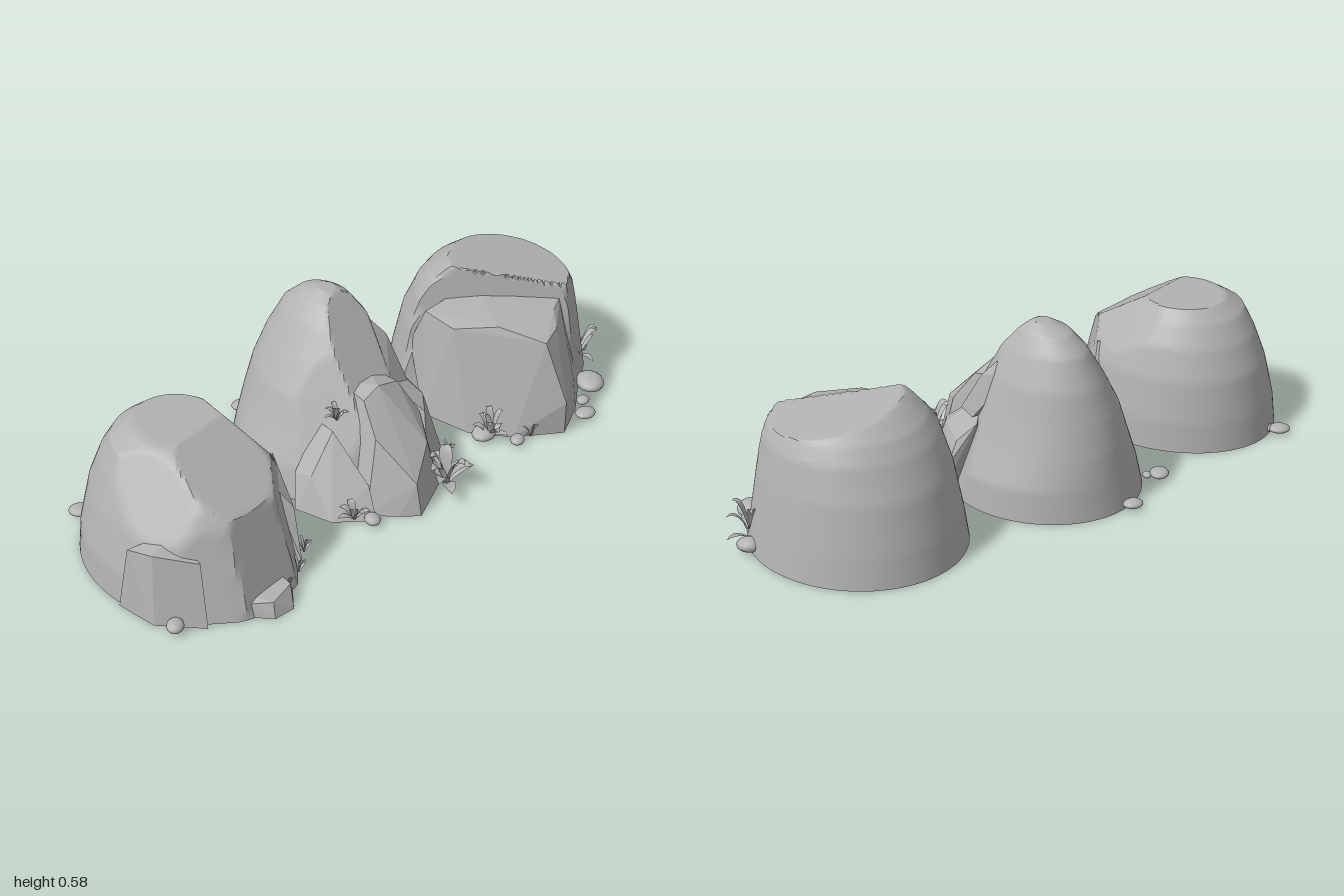
import * as THREE from 'three';
import { toCreasedNormals } from 'three/addons/utils/BufferGeometryUtils.js';
import { ConvexGeometry } from 'three/addons/geometries/ConvexGeometry.js';

const stone = new THREE.MeshStandardMaterial({ color: 0xb2b2b2, side: THREE.DoubleSide });
stone.name = 'stone grey';

function add(parent, name, geometry) {
  const mesh = new THREE.Mesh(geometry, stone);
  mesh.name = name;
  parent.add(mesh);
  return mesh;
}

// Boulder: rounded rings [y, xMin, xMax, zMin, zMax], chiselled by planes [point, normal]
function boulder(rows, planes, core) {
  const N = 96, SUB = 7;
  const collapse = ([y, x0, x1, z0, z1]) => [y, (x0 + x1) / 2, (x0 + x1) / 2, (z0 + z1) / 2, (z0 + z1) / 2];
  const keys = [collapse(rows[0]), ...rows, collapse(rows[rows.length - 1])];
  const cuts = planes.map(([p, n]) => [new THREE.Vector3(...p), new THREE.Vector3(...n).normalize()]);
  const pos = [], index = [];
  let rings = 0;
  for (let k = 0; k < keys.length; k++) {
    const steps = k === 0 || k === keys.length - 1 ? 1 : SUB;
    for (let s = 0; s < steps; s++, rings++) {
      const next = keys[Math.min(k + 1, keys.length - 1)];
      const [y, x0, x1, z0, z1] = keys[k].map((v, i) => v + (next[i] - v) * s / steps);
      for (let j = 0; j <= N; j++) {
        const a = (j % N) / N * Math.PI * 2;
        const v = new THREE.Vector3((x0 + x1) / 2 + (x1 - x0) / 2 * Math.cos(a), y, (z0 + z1) / 2 + (z1 - z0) / 2 * Math.sin(a));
        const c = new THREE.Vector3(core[0], Math.min(y, core[1]), core[2]);
        for (const [p, n] of cuts) {
          const over = n.dot(v) - n.dot(p);
          if (over > 0) v.lerp(c, over / (n.dot(v) - n.dot(c)));
        }
        pos.push(v.x, v.y, v.z);
      }
    }
  }
  for (let r = 0; r < rings - 1; r++) {
    for (let j = 0; j < N; j++) {
      const a = r * (N + 1) + j, b = a + 1, c = a + N + 1, d = c + 1;
      index.push(a, c, b, b, c, d);
    }
  }
  const geo = new THREE.BufferGeometry();
  geo.setAttribute('position', new THREE.Float32BufferAttribute(pos, 3));
  geo.setIndex(index);
  return toCreasedNormals(geo, 0.45);
}

// Angular block leaning against a boulder
const chunk = (points) => new ConvexGeometry(points.map((p) => new THREE.Vector3(...p)));

// Arched pointed leaf growing along +x
function leaf(length, rise, width) {
  const pos = [], index = [], S = 7;
  for (let i = 0; i <= S; i++) {
    const t = i / S;
    const w = width * Math.pow(Math.sin(Math.PI * (0.08 + 0.92 * t)), 0.8) / 2 * (i === S ? 0 : 1);
    const y = rise * (2.1 * t - 1.3 * t * t);
    pos.push(length * t, y + w * 0.3, -w, length * t, y, 0, length * t, y + w * 0.3, w);
    if (i < S) for (const k of [0, 1]) {
      const a = i * 3 + k;
      index.push(a, a + 1, a + 3, a + 1, a + 4, a + 3);
    }
  }
  const geo = new THREE.BufferGeometry();
  geo.setAttribute('position', new THREE.Float32BufferAttribute(pos, 3));
  geo.setIndex(index);
  geo.computeVertexNormals();
  return geo;
}

function plant(parent, name, [x, y, z], count, radius, height, width) {
  const g = new THREE.Group();
  g.name = name;
  g.position.set(x, y, z);
  for (let i = 0; i < count; i++) {
    const tall = (i * 5 % 7) / 6;
    const m = add(g, 'leaf', leaf(radius * (1 - 0.4 * tall), height * (0.35 + 0.85 * tall), width));
    m.rotation.y = i / count * Math.PI * 2 + tall * 0.3;
  }
  parent.add(g);
}

function pebble(parent, [x, z, r, h]) {
  const m = add(parent, 'pebble', new THREE.SphereGeometry(1, 14, 8));
  m.scale.set(r, h, r * 0.85);
  m.position.set(x, h + 0.004, z);
  m.rotation.y = x * 9;
}

export function createModel() {
  const model = new THREE.Group();
  model.name = 'rocks';
  const group = (name) => {
    const g = new THREE.Group();
    g.name = name;
    model.add(g);
    return g;
  };

  // Broad rock with a flat crown
  const broad = group('broadRock');
  add(broad, 'broadBody', boulder([
    [0, -0.99, -0.37, -0.44, 0.31], [0.1, -0.98, -0.375, -0.43, 0.3], [0.24, -0.94, -0.4, -0.405, 0.27],
    [0.34, -0.9, -0.435, -0.365, 0.2], [0.41, -0.86, -0.48, -0.32, 0.1], [0.45, -0.79, -0.52, -0.27, 0.02], [0.458, -0.74, -0.56, -0.23, -0.05],
  ], [
    [[-0.7, 0.2, 0.23], [0, 0.3, 1]],
    [[-0.88, 0.1, 0.18], [-0.7, 0.25, 0.75]],
    [[-0.5, 0.1, 0.18], [0.7, 0.22, 0.75]],
    [[-0.66, 0.4, 0.04], [0.05, 0.9, 0.55]],
    [[-0.86, 0.37, -0.1], [-0.8, 0.6, 0.2]],
    [[-0.47, 0.37, -0.1], [0.8, 0.6, 0.15]],
    [[-0.68, 0.452, -0.15], [0.02, 1, 0]],
  ], [-0.68, 0.15, -0.08]));
  add(broad, 'leftBlock', chunk([
    [-1, 0, -0.05], [-0.995, 0, 0.09], [-0.9, 0, 0.22], [-0.98, 0.22, -0.02], [-0.965, 0.235, 0.07],
    [-0.87, 0.2, 0.17], [-0.85, 0.25, 0.05], [-0.8, 0, 0],
  ]));
  add(broad, 'rightBlock', chunk([
    [-0.37, 0, 0.03], [-0.38, 0.2, 0.02], [-0.43, 0.29, 0.05], [-0.5, 0, 0.23], [-0.48, 0.18, 0.18],
    [-0.58, 0, 0], [-0.5, 0.3, 0], [-0.52, 0.27, 0.12],
  ]));
  add(broad, 'frontStone', chunk([
    [-0.79, 0, 0.27], [-0.74, 0, 0.34], [-0.67, 0, 0.35], [-0.61, 0, 0.29], [-0.78, 0.045, 0.27],
    [-0.73, 0.05, 0.325], [-0.64, 0.055, 0.31], [-0.62, 0.06, 0.2], [-0.78, 0.06, 0.2],
  ]));

  // Tall rock with a rounded peak
  const tall = group('tallRock');
  add(tall, 'tallBody', boulder([
    [0, -0.31, 0.29, -0.435, 0.22], [0.1, -0.285, 0.28, -0.42, 0.21], [0.2, -0.24, 0.24, -0.405, 0.19],
    [0.3, -0.2, 0.205, -0.382, 0.15], [0.4, -0.14, 0.175, -0.35, 0.09], [0.5, -0.075, 0.13, -0.3, 0.01],
    [0.55, -0.035, 0.1, -0.245, -0.05], [0.577, 0.01, 0.065, -0.17, -0.12],
  ], [
    [[-0.1, 0.4, 0], [-0.8, 0.45, 0.45]],
    [[0.13, 0.4, -0.02], [0.75, 0.3, 0.6]],
    [[0.03, 0.47, -0.03], [0, 0.6, 0.8]],
    [[0.13, 0.46, -0.24], [0.8, 0.4, -0.4]],
  ], [0, 0.15, -0.12]));
  add(tall, 'frontBlock', chunk([
    [-0.2, 0, 0.23], [-0.14, 0, 0.31], [-0.09, 0, 0.36], [0.07, 0, 0.3], [0.14, 0, 0.22], [-0.1, 0, 0], [0.1, 0, 0],
    [-0.085, 0.11, 0.335], [-0.125, 0.24, 0.2], [-0.09, 0.33, 0.12], [-0.02, 0.35, 0.12], [0.07, 0.32, 0.12],
    [0.1, 0.22, 0.19], [0.03, 0.18, 0.28], [-0.07, 0.34, 0], [0.05, 0.34, 0],
  ]));
  add(tall, 'leftBlock', chunk([
    [-0.325, 0, 0.04], [-0.3, 0, 0.17], [-0.2, 0, 0.27], [-0.28, 0.12, 0.07], [-0.19, 0.25, 0.08],
    [-0.18, 0.1, 0.22], [-0.17, 0.24, 0], [-0.1, 0, 0.1], [-0.28, 0.1, 0],
  ]));
  add(tall, 'rightBlock', chunk([
    [0.29, 0, 0.05], [0.21, 0, 0.2], [0.1, 0, 0.23], [0.28, 0.1, 0.03], [0.25, 0.18, 0.02], [0.2, 0.2, 0.12],
    [0.15, 0.18, 0.17], [0.1, 0, 0], [0.21, 0.24, -0.03], [0.1, 0.27, 0.06],
  ]));
  add(tall, 'shoulderBlock', chunk([
    [0.04, 0.42, 0], [0.14, 0.44, -0.05], [0.17, 0.39, -0.01], [0.06, 0.3, 0.1], [0.17, 0.25, 0.08],
    [0.2, 0.25, 0], [0.05, 0.28, -0.05], [0.14, 0.42, -0.12],
  ]));

  // Slanted rock with a split front corner
  const slanted = group('slantedRock');
  add(slanted, 'slantedBody', boulder([
    [0, 0.325, 0.975, -0.315, 0.4], [0.1, 0.34, 0.96, -0.3, 0.385], [0.25, 0.365, 0.935, -0.265, 0.355],
    [0.36, 0.39, 0.91, -0.215, 0.325], [0.41, 0.42, 0.885, -0.18, 0.3], [0.45, 0.45, 0.85, -0.13, 0.26], [0.5, 0.5, 0.8, -0.06, 0.2],
  ], [
    [[0.55, 0.467, 0], [0.16, 1, 0.1]],
    [[0.59, 0.4, 0.095], [-0.74, 0.15, 0.67]],
    [[0.8, 0.2, 0.28], [0.45, 0.15, 0.85]],
  ], [0.7, 0.15, 0]));
  add(slanted, 'frontBlock', chunk([
    [0.325, 0, 0.02], [0.34, 0, 0.2], [0.42, 0, 0.33], [0.55, 0, 0.44], [0.68, 0, 0.39], [0.82, 0, 0.3], [0.6, 0, -0.05],
    [0.55, 0.12, 0.44], [0.66, 0.14, 0.385], [0.39, 0.355, -0.03], [0.375, 0.35, 0.1], [0.46, 0.368, 0.22],
    [0.53, 0.33, 0.36], [0.61, 0.34, 0.34], [0.66, 0.365, 0.29], [0.73, 0.36, 0.26], [0.6, 0.375, 0], [0.4, 0.2, -0.1],
  ]));

  // Plants and grass tufts
  const plants = group('plants');
  plant(plants, 'broadLeafPlant', [0.07, 0.02, 0.33], 11, 0.1, 0.12, 0.042);
  plant(plants, 'tallLeafPlant', [0.91, 0.01, 0.22], 10, 0.1, 0.15, 0.026);
  plant(plants, 'cornerPlant', [0.36, 0.01, 0.28], 9, 0.065, 0.11, 0.026);
  plant(plants, 'ledgePlant', [-0.15, 0.26, 0.06], 7, 0.045, 0.06, 0.018);
  plant(plants, 'sidePlant', [-0.25, 0.01, 0.22], 7, 0.06, 0.06, 0.025);
  for (const [x, z] of [[-0.62, 0.28], [-0.54, 0.25], [-0.46, 0.2], [0.46, 0.37], [0.93, 0.11], [0.2, 0.23]]) {
    plant(plants, 'grassTuft', [x, 0, z], 6, 0.035, 0.06, 0.009);
  }

  // Pebbles [x, z, radius, half height]
  const pebbles = group('pebbles');
  [
    [-0.785, -0.45, 0.037, 0.014], [-0.765, -0.42, 0.022, 0.012], [-0.97, 0.155, 0.032, 0.018],
    [-0.265, -0.375, 0.037, 0.015], [-0.235, -0.35, 0.018, 0.01], [-0.055, -0.45, 0.033, 0.014],
    [-0.06, -0.425, 0.018, 0.01], [0.805, 0.355, 0.056, 0.025], [0.665, 0.44, 0.036, 0.014],
    [0.35, 0.26, 0.045, 0.02], [0.4, 0.36, 0.028, 0.014], [0.72, 0.39, 0.025, 0.012],
    [0.95, 0.19, 0.04, 0.022], [-0.22, 0.27, 0.03, 0.016],
  ].forEach((p) => pebble(pebbles, p));

  return model;
}
